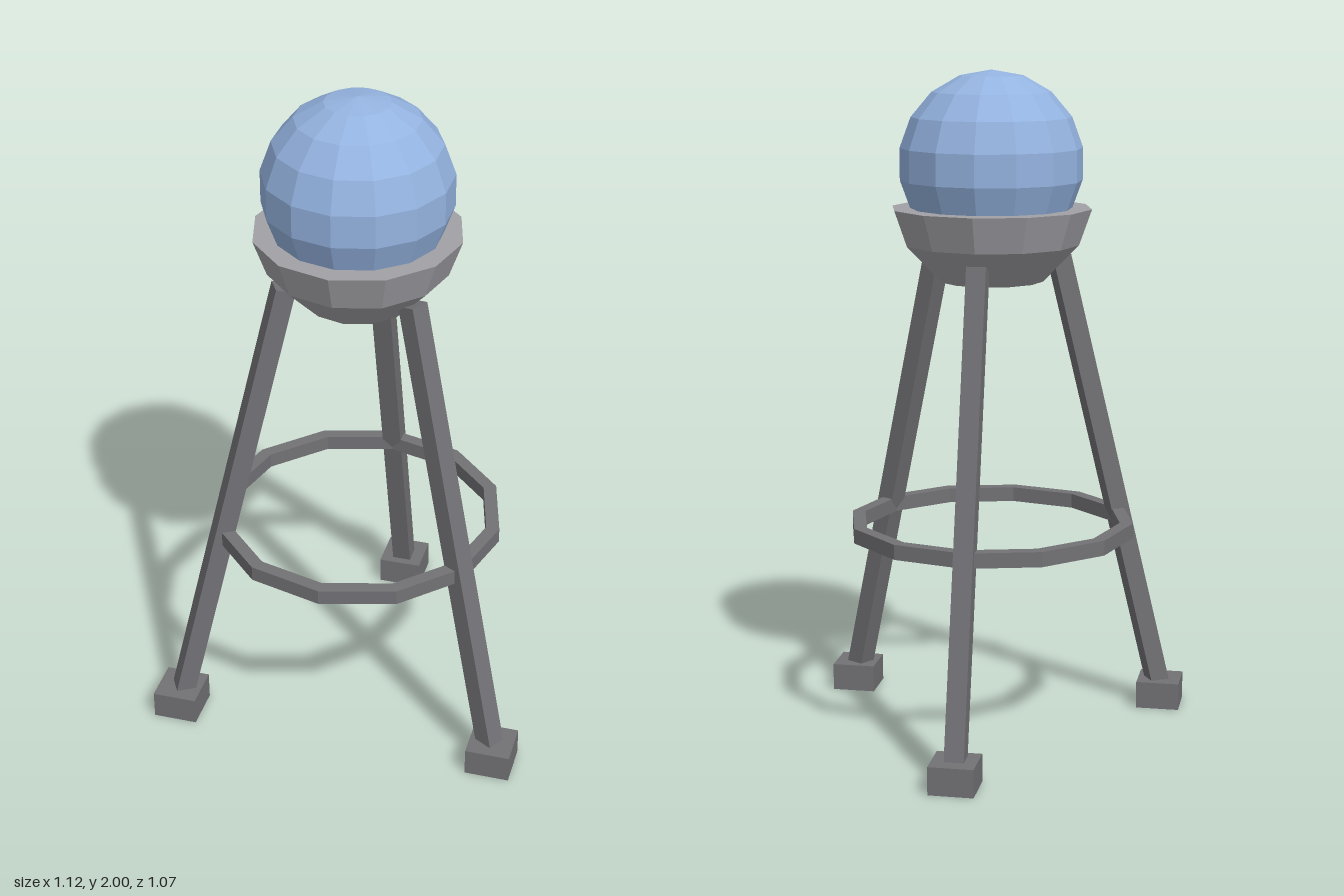
import * as THREE from 'three';

export function createModel() {
  const model = new THREE.Group();
  model.name = 'tankOnTripod';
  const flat = (name, color) => {
    const m = new THREE.MeshStandardMaterial({ color, flatShading: true });
    m.name = name;
    return m;
  };
  const blue = flat('blue', 0x94b3e0);
  const lightGrey = flat('lightGrey', 0xa2a1a6);
  const darkGrey = flat('darkGrey', 0x727276);

  const AXIS_Z = 0.1; // the tripod axis sits a little forward of the centre
  const add = (name, geometry, material, x, y, z) => {
    const mesh = new THREE.Mesh(geometry, material);
    mesh.name = name;
    mesh.position.set(x, y, z);
    model.add(mesh);
    return mesh;
  };
  const lathe = (points, sides) =>
    new THREE.LatheGeometry(points.map(([r, y]) => new THREE.Vector2(r, y)), sides);

  // Faceted ball
  const ball = add('ball', new THREE.SphereGeometry(0.274, 14, 9), blue, 0, 1.726, AXIS_Z);
  ball.rotation.y = Math.PI / 2;

  // Cradle under the ball, closed top and bottom
  add('cradle', lathe([[0, 1.38], [0.155, 1.38], [0.262, 1.49], [0.3, 1.597], [0, 1.597]], 12),
    lightGrey, 0, 0, AXIS_Z);

  // Bracing ring with a rectangular section
  add('braceRing', lathe([[0.393, 0.61], [0.433, 0.61], [0.433, 0.655], [0.393, 0.655], [0.393, 0.61]], 12),
    darkGrey, 0, 0, AXIS_Z);

  // Three splayed legs, each on a square foot
  const bottom = { r: 0.568, y: 0.04 };
  const top = { r: 0.215, y: 1.445 };
  const length = Math.hypot(bottom.r - top.r, top.y - bottom.y);
  const tilt = Math.atan2(bottom.r - top.r, top.y - bottom.y);
  ['leftLeg', 'backLeg', 'rightLeg'].forEach((name, i) => {
    const angle = Math.PI / 3 + i * Math.PI * 2 / 3;
    const dx = Math.sin(angle), dz = Math.cos(angle);
    const r = (bottom.r + top.r) / 2;
    const leg = add(name, new THREE.BoxGeometry(0.058, length, 0.058), darkGrey,
      dx * r, (bottom.y + top.y) / 2, AXIS_Z + dz * r);
    leg.rotation.set(-tilt, angle, 0, 'YXZ');
    add(name.replace('Leg', 'Foot'), new THREE.BoxGeometry(0.133, 0.084, 0.133), darkGrey,
      dx * bottom.r, 0.042, AXIS_Z + dz * bottom.r);
  });

  return model;
}
